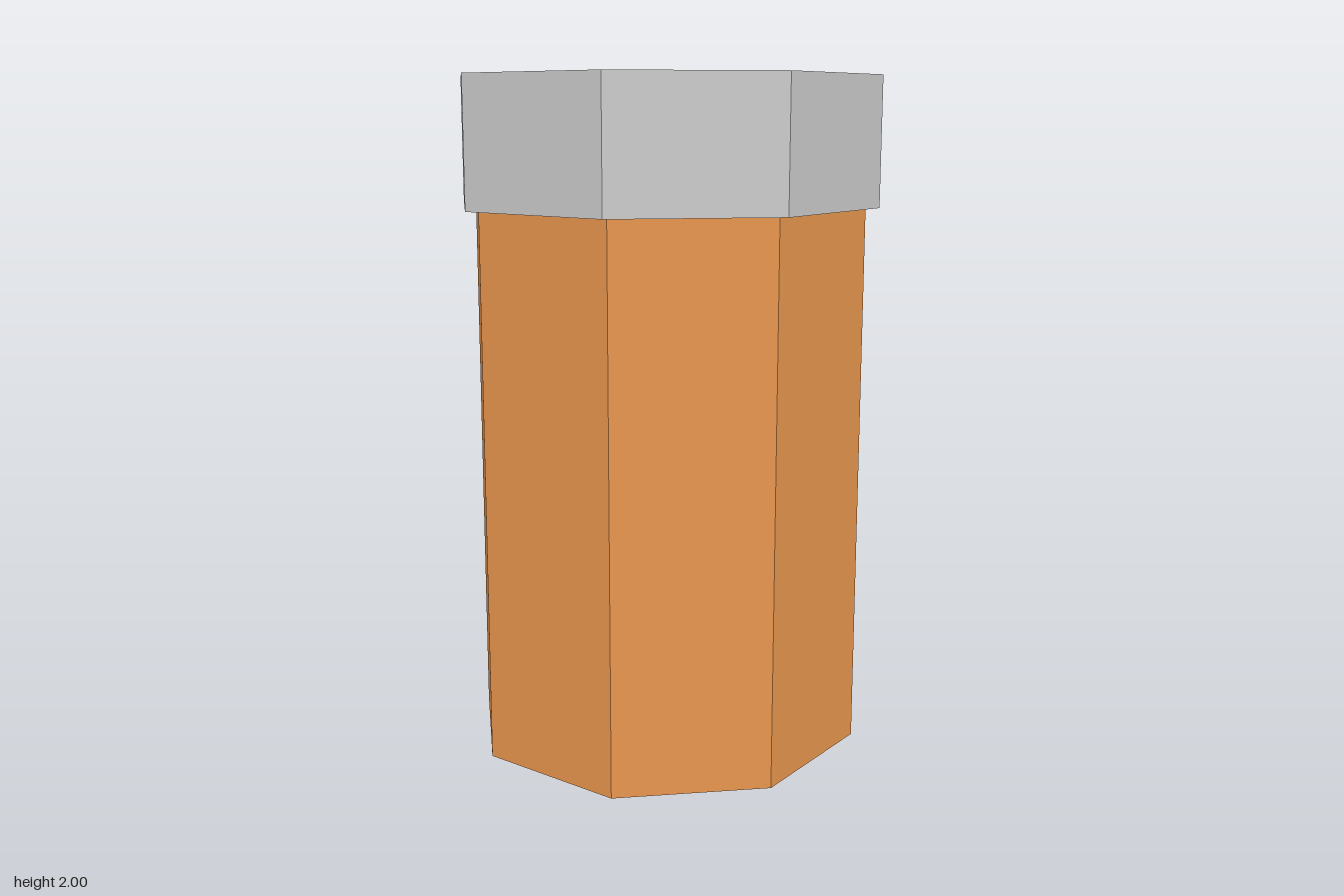
import * as THREE from 'three';

const SIDES = 8;

// Upright octagonal prism with corners on the x and z axes
function prism(name, radius, bottom, top, color) {
  const geometry = new THREE.CylinderGeometry(radius, radius, top - bottom, SIDES);
  const material = new THREE.MeshStandardMaterial({ color, flatShading: true });
  const mesh = new THREE.Mesh(geometry, material);
  mesh.name = name;
  mesh.position.y = (bottom + top) / 2;
  return mesh;
}

export function createModel() {
  const model = new THREE.Group();
  model.name = 'cappedBottle';

  // Orange container body
  model.add(prism('body', 0.6, 0, 1.625, 0xe8964e));

  // Slightly wider grey lid
  model.add(prism('cap', 0.64, 1.625, 2, 0xcccccc));

  return model;
}
